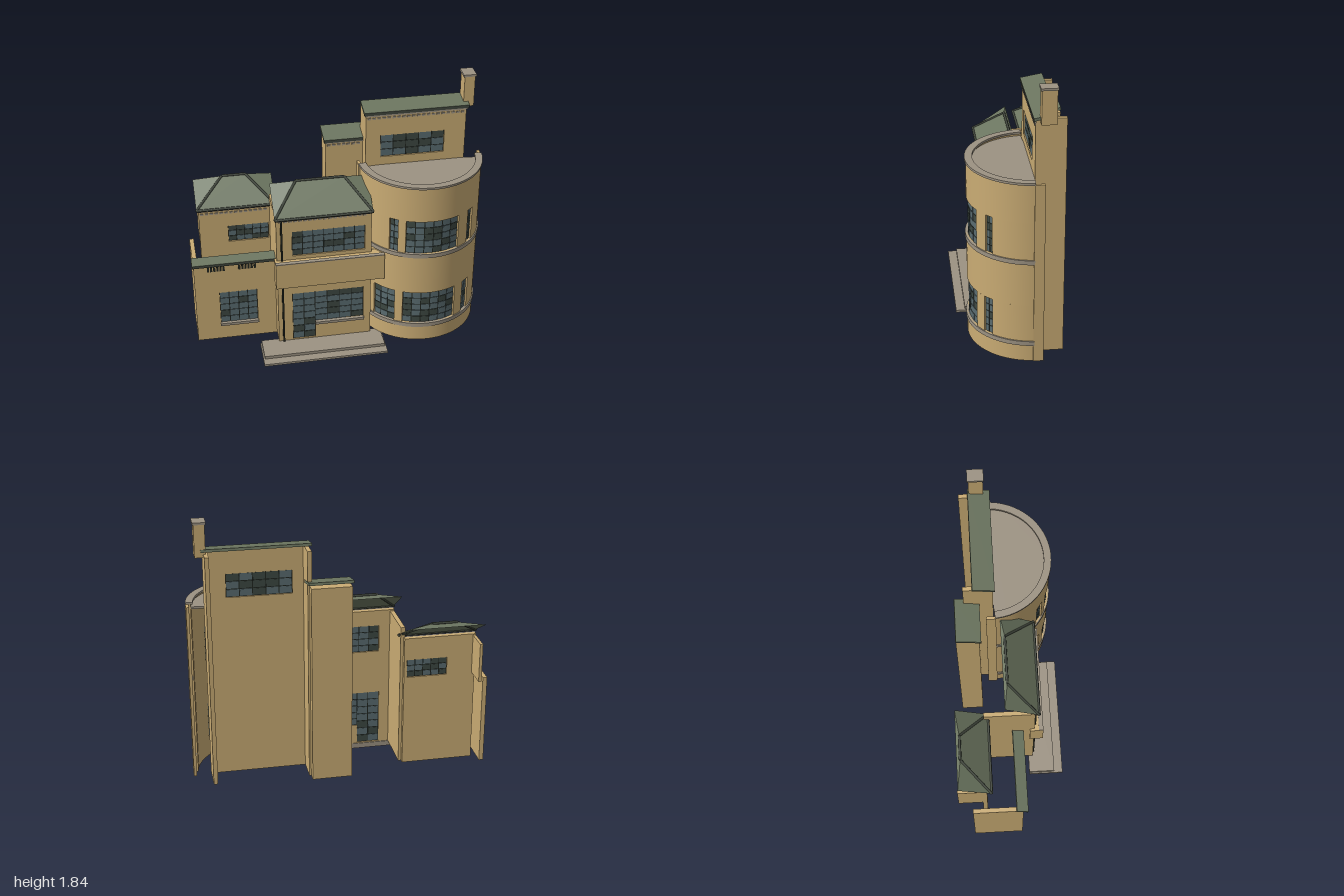
import * as THREE from 'three';
import { toCreasedNormals } from 'three/addons/utils/BufferGeometryUtils.js';

const material = (name, color, side = THREE.FrontSide) => {
  const m = new THREE.MeshStandardMaterial({ color, side });
  m.name = name;
  return m;
};

export function createModel() {
  const house = new THREE.Group();
  house.name = 'house';
  const wallMat = material('ochre wall', 0xcaac74);
  const stone = material('grey stone', 0x9c9282);
  const roofMat = material('green roof', 0x6c7660, THREE.DoubleSide);
  const trim = material('dark roof trim', 0x41473d);
  const frame = material('window frame', 0x20251f);
  const glass = material('glass', 0x5a6c70);
  const darkGlass = material('dark glass', 0x3d4842);

  let seed = 7;
  const random = () => (seed = (seed * 16807) % 2147483647) / 2147483647;
  const paneMat = () => (random() < 0.3 ? darkGlass : glass);

  const add = (name, geometry, mat, parent = house) => {
    const mesh = new THREE.Mesh(geometry, mat);
    mesh.name = name;
    parent.add(mesh);
    return mesh;
  };
  const group = (name) => {
    const g = new THREE.Group();
    g.name = name;
    house.add(g);
    return g;
  };
  // Box given by its limits on each axis
  const box = (name, mat, x0, x1, y0, y1, z0, z1, parent) => {
    const mesh = add(name, new THREE.BoxGeometry(x1 - x0, y1 - y0, z1 - z0), mat, parent);
    mesh.position.set((x0 + x1) / 2, (y0 + y1) / 2, (z0 + z1) / 2);
    return mesh;
  };
  const rect = (x0, x1, y0, y1) => [[x0, y0], [x1, y0], [x1, y1], [x0, y1]];
  const path = (points) => points.map(([x, y]) => new THREE.Vector2(x, y));
  // Thin front wall with openings
  const wall = (name, outline, z0, z1, holes) => {
    const shape = new THREE.Shape(path(outline));
    holes.forEach((h) => shape.holes.push(new THREE.Path(path(h))));
    const geometry = new THREE.ExtrudeGeometry(shape, { depth: z1 - z0, bevelEnabled: false });
    add(name, geometry.translate(0, 0, z0), wallMat);
  };
  // Flat window: dark frame with a grid of panes showing on both faces
  const windowGrid = (name, x0, x1, y0, y1, cols, rows, z) => {
    const g = group(name);
    box('frame', frame, x0, x1, y0, y1, z - 0.005, z + 0.005, g);
    const w = (x1 - x0) / cols, h = (y1 - y0) / rows, gap = 0.003;
    for (let c = 0; c < cols; c++) for (let r = 0; r < rows; r++)
      box('pane', paneMat(), x0 + c * w + gap, x0 + (c + 1) * w - gap,
        y0 + r * h + gap, y0 + (r + 1) * h - gap, z - 0.008, z + 0.008, g);
  };
  const dentils = (x0, x1, y, z) => {
    const g = group('dentils');
    for (let x = x0; x < x1 - 0.02; x += 0.033) box('dentil', stone, x, x + 0.022, y - 0.006, y + 0.006, z - 0.002, z + 0.006, g);
  };
  // Roof slab rising towards the back
  const slab = (name, x0, x1, zFront, yFront, zBack, yBack) => {
    const dz = zFront - zBack, dy = yBack - yFront;
    const mesh = add(name, new THREE.BoxGeometry(x1 - x0, 0.018, Math.hypot(dz, dy)), roofMat);
    mesh.position.set((x0 + x1) / 2, (yFront + yBack) / 2, (zFront + zBack) / 2);
    mesh.rotation.x = Math.atan2(dy, dz);
    box('slab edge', trim, x0, x1, yFront - 0.012, yFront + 0.008, zFront - 0.01, zFront + 0.002);
  };

  // Hipped roof with trim along the hips and ridge
  const hipRoof = (name, x0, x1, rx0, rx1, zFront, yEave, zRidge, yRidge, zBack, yBack) => {
    const g = group(name);
    const A = [x0, yEave, zFront], B = [x1, yEave, zFront], C = [x1, yBack, zBack];
    const D = [x0, yBack, zBack], E = [rx0, yRidge, zRidge], F = [rx1, yRidge, zRidge];
    const geometry = new THREE.BufferGeometry();
    const faces = [A, B, F, A, F, E, D, A, E, B, C, F, C, D, E, C, E, F];
    geometry.setAttribute('position', new THREE.Float32BufferAttribute(faces.flat(), 3));
    geometry.computeVertexNormals();
    add('roof planes', geometry, roofMat, g);
    [[A, E], [E, F], [F, B], [A, B]].forEach(([p, q]) => {
      const a = new THREE.Vector3(...p), b = new THREE.Vector3(...q);
      const bar = add('roof trim', new THREE.CylinderGeometry(0.009, 0.009, a.distanceTo(b), 6), trim, g);
      bar.position.copy(a).lerp(b, 0.5);
      bar.quaternion.setFromUnitVectors(new THREE.Vector3(0, 1, 0), b.clone().sub(a).normalize());
    });
  };

  // Entrance steps
  box('lowerStep', stone, -0.57, 0.285, 0, 0.016, 0.13, 0.37);
  box('upperStep', stone, -0.56, 0.275, 0.016, 0.037, 0.13, 0.31);

  // Central block
  wall('centralWall', rect(-0.44, 0.2, 0.04, 1.04), 0.13, 0.16, [
    rect(-0.335, 0.155, 0.74, 0.93),
    [[-0.34, 0.045], [-0.185, 0.045], [-0.185, 0.18], [0.15, 0.18], [0.15, 0.43], [-0.34, 0.43]],
  ]);
  box('centralLeftReturn', wallMat, -0.44, -0.41, 0.04, 1.03, -0.18, 0.13);
  box('centralRightReturn', wallMat, 0.17, 0.2, 0.04, 1.03, 0.0, 0.13);
  windowGrid('upperCentralWindow', -0.335, 0.155, 0.74, 0.93, 7, 4, 0.145);
  windowGrid('lowerCentralWindow', -0.185, 0.15, 0.18, 0.43, 4, 5, 0.145);
  windowGrid('door', -0.34, -0.185, 0.045, 0.43, 2, 7, 0.145);
  box('centralSill', stone, -0.185, 0.155, 0.16, 0.18, 0.14, 0.175);
  box('balcony', wallMat, -0.455, 0.28, 0.525, 0.712, 0.13, 0.22);
  box('balconyCap', stone, -0.455, 0.28, 0.712, 0.718, 0.19, 0.22);
  box('downpipe', frame, -0.412, -0.4, 0.04, 1.03, 0.16, 0.172);
  box('centralCornice', stone, -0.445, 0.2, 1.025, 1.04, 0.155, 0.175);
  dentils(-0.42, 0.19, 1.015, 0.16);
  hipRoof('centralRoof', -0.45, 0.205, -0.28, 0.045, 0.185, 1.045, -0.015, 1.215, -0.04, 1.195);

  // Side wing, low front and taller rear wall
  wall('wingFrontWall', rect(-0.99, -0.43, 0.04, 0.675), 0.025, 0.055, [rect(-0.825, -0.57, 0.17, 0.425)]);
  box('wingReturn', wallMat, -0.99, -0.96, 0.04, 0.665, -0.28, 0.025);
  windowGrid('wingWindow', -0.825, -0.57, 0.17, 0.425, 4, 5, 0.04);
  box('wingSill', stone, -0.83, -0.565, 0.153, 0.173, 0.035, 0.07);
  slab('wingLedge', -1, -0.44, 0.085, 0.675, 0.01, 0.692);
  for (const x0 of [-0.9, -0.69])
    for (let i = 0; i < 6; i++) box('vent', frame, x0 + i * 0.021, x0 + i * 0.021 + 0.014, 0.605, 0.64, 0.05, 0.058);
  wall('wingRearWall', rect(-0.92, -0.43, 0.04, 0.96), -0.21, -0.18, [rect(-0.725, -0.45, 0.68, 0.805)]);
  box('wingRearReturn', wallMat, -0.92, -0.9, 0.68, 0.95, -0.372, -0.21);
  windowGrid('wingUpperWindow', -0.725, -0.45, 0.68, 0.805, 5, 3, -0.195);
  box('wingCornice', stone, -0.925, -0.43, 0.94, 0.96, -0.185, -0.165);
  dentils(-0.91, -0.44, 0.915, -0.18);
  hipRoof('wingRoof', -0.935, -0.4, -0.74, -0.58, -0.15, 0.965, -0.34, 1.11, -0.365, 1.085);

  // Rear stair block
  box('stairBlock', wallMat, -0.052, 0.215, 0.04, 1.4, -0.33, -0.18);
  box('stairCornice', stone, -0.055, 0.215, 1.38, 1.395, -0.185, -0.174);
  slab('stairRoof', -0.063, 0.23, -0.17, 1.4, -0.33, 1.432);
  dentils(-0.04, 0.2, 1.365, -0.18);

  // Tower
  wall('towerWall', rect(0.2, 0.873, 0.04, 1.63), -0.11, -0.08, [rect(0.3, 0.73, 1.3, 1.46)]);
  for (const x of [0.2, 0.845]) box('towerReturn', wallMat, x, x + 0.028, 0.04, 1.63, -0.27, -0.11);
  windowGrid('towerWindow', 0.3, 0.73, 1.3, 1.46, 5, 3, -0.095);
  box('towerCornice', stone, 0.195, 0.88, 1.606, 1.624, -0.085, -0.073);
  slab('towerRoof', 0.187, 0.89, -0.07, 1.63, -0.21, 1.655);
  dentils(0.21, 0.87, 1.59, -0.08);
  box('chimney', wallMat, 0.858, 0.928, 1.61, 1.825, -0.202, -0.108);
  box('chimneyCap', stone, 0.85, 0.935, 1.825, 1.84, -0.208, -0.102);

  // Round bay: every piece is a sector of a ring, angles in degrees from the front
  const sector = (name, mat, r0, r1, a0, a1, y0, y1, parent) => {
    const rad = (a) => THREE.MathUtils.degToRad(a - 90);
    const shape = new THREE.Shape();
    shape.absarc(0, 0, r1, rad(a0), rad(a1), false);
    if (r0 > 0) shape.absarc(0, 0, r0, rad(a1), rad(a0), true);
    else shape.lineTo(0, 0);
    const curveSegments = Math.max(2, Math.ceil((a1 - a0) / 4));
    const geometry = new THREE.ExtrudeGeometry(shape, { depth: y1 - y0, bevelEnabled: false, curveSegments });
    geometry.rotateX(-Math.PI / 2).translate(0.573, y0, -0.1);
    return add(name, toCreasedNormals(geometry, 0.6), mat, parent);
  };
  const bay = group('roundBay');
  const R = 0.413, inner = 0.385, end = 86;
  for (const [y0, y1] of [[0.04, 0.183], [0.435, 0.755], [1.005, 1.258]])
    sector('bayBand', wallMat, inner, R, -end, end, y0, y1, bay);
  const storeys = [
    { y0: 0.183, y1: 0.435, openings: [[-56, -33, 3], [-25, 27.5, 6], [38, 47.5, 2]] },
    { y0: 0.755, y1: 1.005, openings: [[-40, -31.5, 2], [-24, 27.5, 6], [40, 47.5, 2]] },
  ];
  for (const { y0, y1, openings } of storeys) {
    let from = -end;
    for (const [a0, a1, cols] of openings) {
      sector('bayPier', wallMat, inner, R, from, a0, y0, y1, bay);
      from = a1;
      sector('bayFrame', frame, 0.393, 0.4, a0, a1, y0, y1, bay);
      const w = (a1 - a0) / cols, h = (y1 - y0) / 5;
      for (let c = 0; c < cols; c++) for (let r = 0; r < 5; r++)
        sector('bayPane', paneMat(), 0.39, 0.403, a0 + c * w + 0.45, a0 + (c + 1) * w - 0.45,
          y0 + r * h + 0.003, y0 + (r + 1) * h - 0.003, bay);
    }
    sector('bayPier', wallMat, inner, R, from, end, y0, y1, bay);
    sector('baySill', stone, 0.39, 0.421, -end, end, y0 - 0.03, y0, bay);
  }
  sector('bayRoof', stone, 0, 0.386, -end, end, 1.225, 1.24, bay);
  sector('bayRim', stone, 0.372, 0.421, -end, end, 1.255, 1.27, bay);
  for (const x of [0.15, 0.972]) box('bayEndWall', wallMat, x, x + 0.02, 0.04, 1.258, -0.13, -0.065, bay);

  return house;
}
